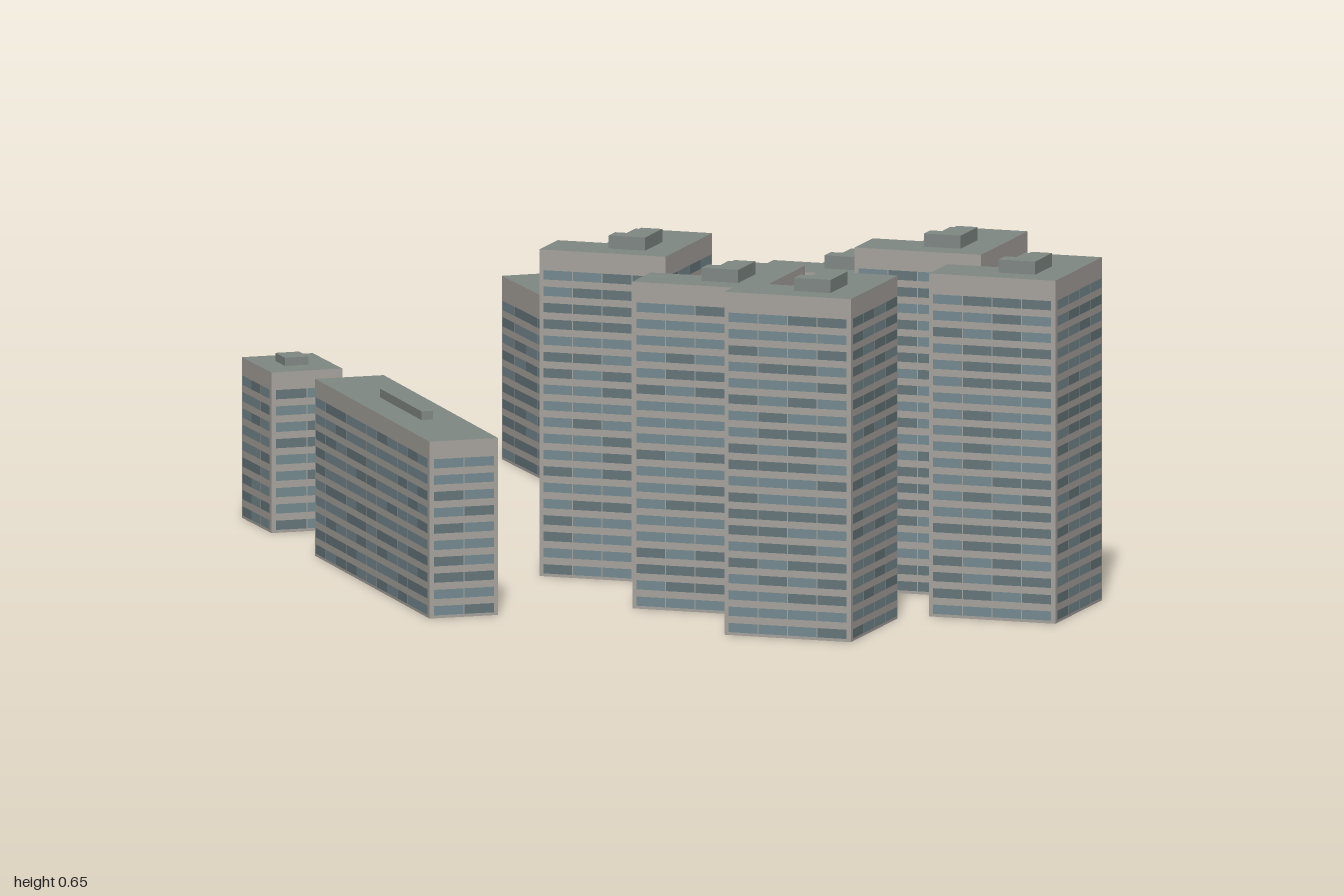
import * as THREE from 'three';
import { mergeGeometries } from 'three/addons/utils/BufferGeometryUtils.js';

const mat = (color) => new THREE.MeshStandardMaterial({ color });
const wallMat = mat(0xa6a29c);
const roofMat = mat(0x7f8783);
const lightGlass = mat(0x74898f);
const darkGlass = mat(0x64757a);

// Small seeded generator for the irregular window bays
let seed = 7;
const rand = () => (seed = (seed * 16807) % 2147483647) / 2147483647;

// Footprints are lists of [x, z], running counter-clockwise seen from above
function prism(name, points, y, height, materials) {
  const shape = new THREE.Shape(points.map(([x, z]) => new THREE.Vector2(x, -z)));
  const geo = new THREE.ExtrudeGeometry(shape, { depth: height, bevelEnabled: false });
  geo.rotateX(-Math.PI / 2).translate(0, y, 0);
  const mesh = new THREE.Mesh(geo, materials);
  mesh.name = name;
  return mesh;
}

// Rows of window strips set just proud of every facade
function windows(points, height) {
  const pitch = 0.03, glassHeight = 0.017, margin = 0.007, proud = 0.0012;
  const rows = Math.round((height - 0.03) / pitch);
  const light = [], dark = [];
  points.forEach(([x1, z1], i) => {
    const [x2, z2] = points[(i + 1) % points.length];
    const dx = x2 - x1, dz = z2 - z1, len = Math.hypot(dx, dz);
    const ux = dx / len, uz = dz / len;
    const bays = Math.max(1, Math.round(len / 0.065));
    const bay = (len - 2 * margin) / bays;
    for (let r = 0; r < rows; r++) {
      for (let b = 0; b < bays; b++) {
        const t = margin + (b + 0.5) * bay;
        const pane = new THREE.PlaneGeometry(bay - 0.002, glassHeight);
        pane.rotateY(Math.atan2(-dz, dx));
        pane.translate(x1 + ux * t - uz * proud, 0.014 + r * pitch, z1 + uz * t + ux * proud);
        (rand() < 0.6 ? light : dark).push(pane);
      }
    }
  });
  const group = new THREE.Group();
  group.name = 'windows';
  [['lightWindows', light, lightGlass], ['darkWindows', dark, darkGlass]].forEach(([name, list, m]) => {
    if (!list.length) return;
    const mesh = new THREE.Mesh(mergeGeometries(list), m);
    mesh.name = name;
    group.add(mesh);
  });
  return group;
}

function building(name, plan, roofPlan, height, roofHeight) {
  const group = new THREE.Group();
  group.name = name;
  group.add(
    prism('walls', plan, 0, height, [roofMat, wallMat]),
    windows(plan, height),
    prism('roofHouse', roofPlan, height, roofHeight, [roofMat, roofMat])
  );
  return group;
}

// L-shaped plan from its outer corner; the long wing runs to the back right
function angledPlan(x, z, long, short, longDepth, shortDepth) {
  const a = THREE.MathUtils.degToRad(40), c = Math.cos(a), s = Math.sin(a);
  return [
    [0, 0], [long, 0], [long, longDepth],
    [shortDepth, longDepth], [shortDepth, short], [0, short]
  ].map(([u, v]) => [x + u * c - v * s, z - u * s - v * c]);
}

// Rectangular plan turned about its centre
function slabPlan(x, z, width, length, degrees) {
  const a = THREE.MathUtils.degToRad(degrees), c = Math.cos(a), s = Math.sin(a);
  return [[-1, 1], [1, 1], [1, -1], [-1, -1]].map(([i, j]) => {
    const p = i * width / 2, q = j * length / 2;
    return [x + p * c - q * s, z + p * s + q * c];
  });
}

export function createModel() {
  seed = 7;
  const model = new THREE.Group();
  model.name = 'housingEstate';

  // Six angled towers: outer corner x, z and height
  [
    [-0.035, 0.265, 0.6], [0.383, 0.328, 0.535],
    [-0.066, 0.642, 0.6], [0.375, 0.69, 0.63],
    [-0.066, 0.965, 0.63], [0.35, 0.992, 0.63]
  ].forEach(([x, z, h], i) => {
    const plan = angledPlan(x, z, 0.262, 0.241, 0.147, 0.102);
    const roof = angledPlan(x + 0.002, z - 0.074, 0.096, 0.07, 0.04, 0.036);
    model.add(building(`angledTower${i + 1}`, plan, roof, h, 0.024));
  });

  // Low blocks: x, z, width, length, turn, height, roof width, roof length, roof height
  [
    ['leftLongBlock', 0.382, -0.725, 0.113, 0.54, 12.3, 0.337, 0.022, 0.2, 0.017],
    ['rightLongBlock', -0.446, 0.04, 0.13, 0.69, 13.7, 0.325, 0.022, 0.25, 0.016],
    ['smallBlock', -0.288, -0.622, 0.135, 0.17, 12.8, 0.295, 0.045, 0.055, 0.015]
  ].forEach(([name, x, z, w, l, turn, h, rw, rl, rh]) => {
    model.add(building(name, slabPlan(x, z, w, l, turn), slabPlan(x, z, rw, rl, turn), h, rh));
  });

  return model;
}
